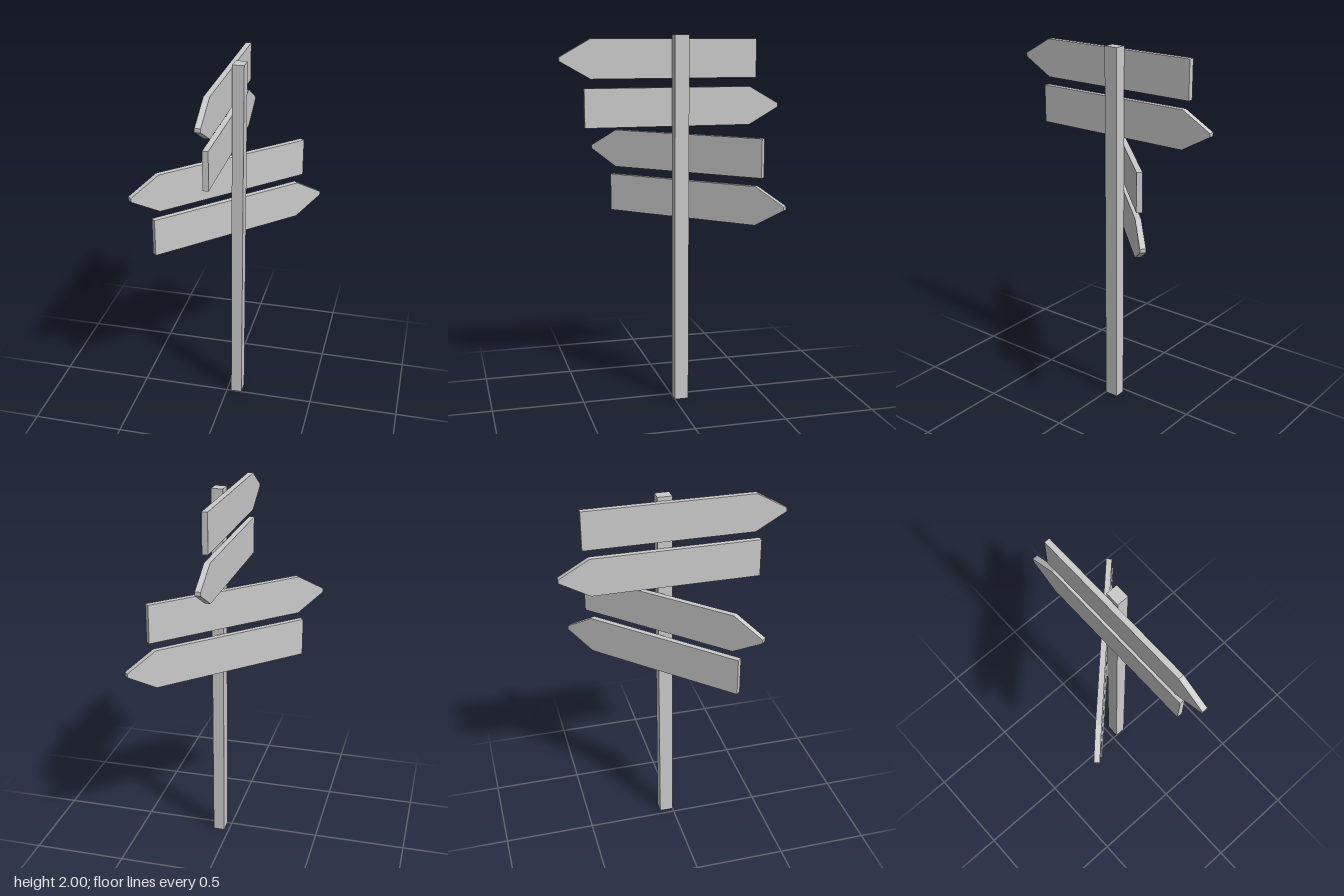
import * as THREE from 'three';

const material = new THREE.MeshStandardMaterial({ color: 0xcccccc, flatShading: true });

// Arrow board pointing along local +x, centred on its origin
function boardGeometry() {
  const tail = -0.47, shoulder = 0.435, tip = 0.598;
  const half = 0.103, blunt = 0.01, thickness = 0.03;
  const shape = new THREE.Shape();
  shape.moveTo(tail, -half);
  shape.lineTo(shoulder, -half);
  shape.lineTo(tip, -blunt);
  shape.lineTo(tip, blunt);
  shape.lineTo(shoulder, half);
  shape.lineTo(tail, half);
  shape.closePath();
  const geometry = new THREE.ExtrudeGeometry(shape, { depth: thickness, bevelEnabled: false });
  return geometry.translate(0, 0, -thickness / 2);
}

export function createModel() {
  const model = new THREE.Group();
  model.name = 'signpost';

  // Square post
  const post = new THREE.Mesh(new THREE.BoxGeometry(0.062, 2, 0.077), material);
  post.name = 'post';
  post.position.set(0.057, 1, -0.0385);
  model.add(post);

  // Four arrow boards: name, centre and heading
  const geometry = boardGeometry();
  const boards = [
    ['topArrowBoard', 0.0075, 1.877, 0, -Math.PI / 2],
    ['upperArrowBoard', 0.0075, 1.623, 0, Math.PI / 2],
    ['lowerArrowBoard', 0, 1.373, -0.073, -Math.PI * 0.75],
    ['bottomArrowBoard', 0, 1.122, -0.073, Math.PI / 4],
  ];
  for (const [name, x, y, z, heading] of boards) {
    const board = new THREE.Mesh(geometry, material);
    board.name = name;
    board.position.set(x, y, z);
    board.rotation.y = heading;
    model.add(board);
  }
  return model;
}
